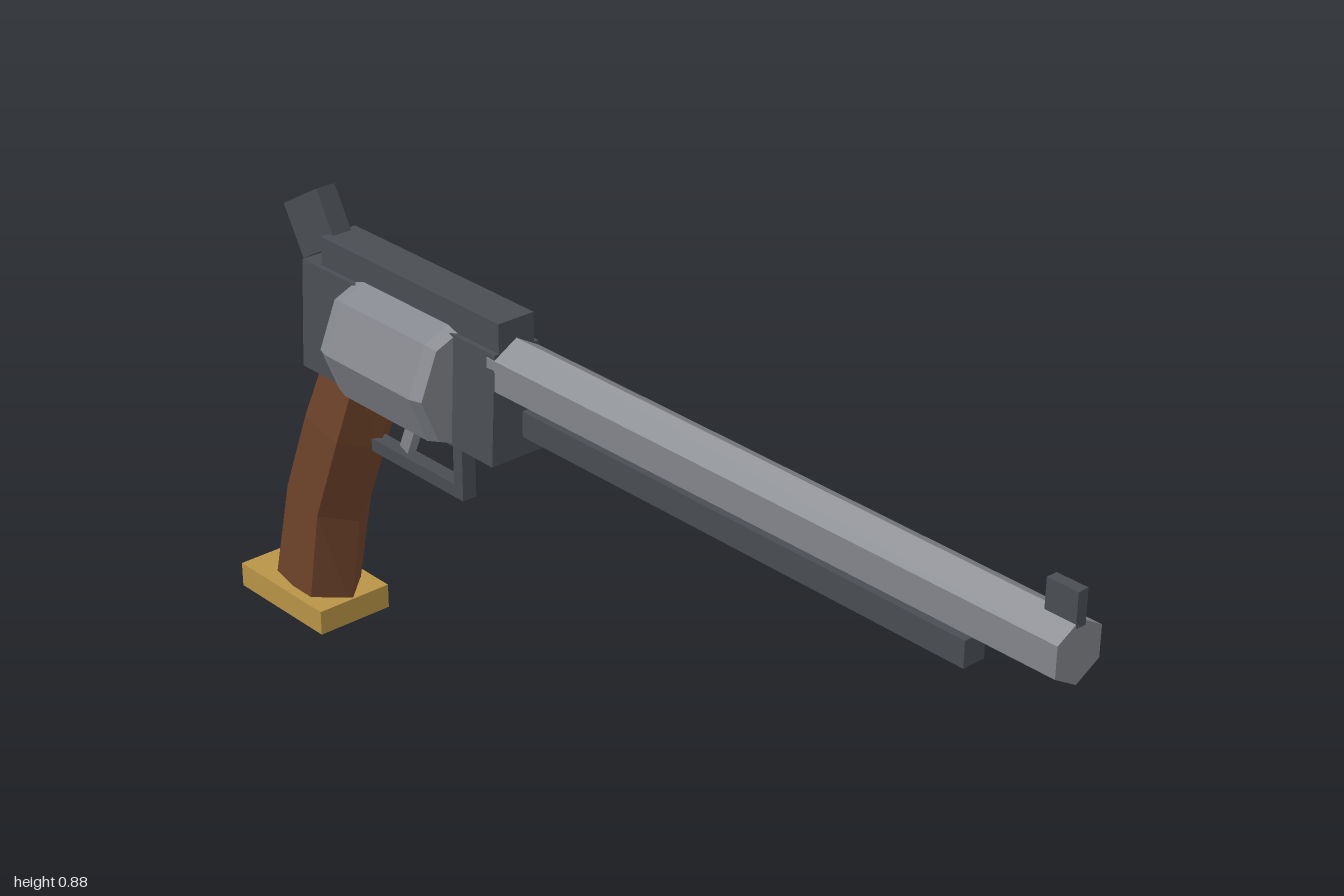
import * as THREE from 'three';

const mat = (color) => new THREE.MeshStandardMaterial({ color, flatShading: true });

export function createModel() {
  const group = new THREE.Group();
  const darkSteel = mat(0x4a4e54);
  const steel = mat(0x83868c);
  const wood = mat(0x70442b);
  const brass = mat(0xba9447);

  const add = (name, geometry, material) => {
    const mesh = new THREE.Mesh(geometry, material);
    mesh.name = name;
    group.add(mesh);
    return mesh;
  };
  // Box centred on x = 0, given by its width and its y and z ranges
  const block = (name, width, y0, y1, z0, z1, material = darkSteel) => {
    const mesh = add(name, new THREE.BoxGeometry(width, y1 - y0, z1 - z0), material);
    mesh.position.set(0, (y0 + y1) / 2, (z0 + z1) / 2);
    return mesh;
  };

  // Six-sided barrel with a ridge along the top
  const barrel = add('barrel', new THREE.CylinderGeometry(0.055, 0.057, 1.27, 6).rotateX(Math.PI / 2), steel);
  barrel.position.set(0, 0.709, 0.365);
  block('ejectorRod', 0.045, 0.602, 0.65, -0.21, 0.805);
  block('frontSight', 0.021, 0.75, 0.811, 0.94, 1);

  // Frame, narrower towards the top
  const section = new THREE.Shape([
    new THREE.Vector2(-0.058, 0.54), new THREE.Vector2(0.058, 0.54),
    new THREE.Vector2(0.048, 0.747), new THREE.Vector2(-0.048, 0.747),
  ]);
  const frame = add('frame', new THREE.ExtrudeGeometry(section, { depth: 0.54, bevelEnabled: false }), darkSteel);
  frame.position.z = -0.79;
  block('topStrap', 0.077, 0.74, 0.802, -0.745, -0.25);

  // Eight-sided drum with bevelled ends
  const profile = [[0, -0.143], [0.121, -0.143], [0.129, -0.118], [0.129, 0.118], [0.121, 0.143], [0, 0.143]]
    .map(([r, y]) => new THREE.Vector2(r, y));
  const drum = add('drum', new THREE.LatheGeometry(profile, 8).rotateX(Math.PI / 2), steel);
  drum.position.set(0, 0.642, -0.503);

  // Trigger and its guard
  block('guardPost', 0.03, 0.405, 0.55, -0.412, -0.387);
  block('guardBar', 0.03, 0.405, 0.43, -0.65, -0.387);
  const trigger = block('trigger', 0.02, 0.435, 0.545, -0.553, -0.529, steel);
  trigger.position.z = -0.54;
  trigger.rotation.x = 0.4;

  // Hammer, leaning back
  const hammer = block('hammer', 0.04, 0.751, 0.856, -0.86, -0.742);
  hammer.rotation.x = -Math.PI / 6;

  // Grip: six-sided rings given by front z, y, back z, y and half width
  const rings = [
    [-0.755, 0.022, -0.963, 0.075, 0.059],
    [-0.72, 0.225, -0.9, 0.285, 0.063],
    [-0.645, 0.407, -0.83, 0.455, 0.064],
    [-0.595, 0.56, -0.775, 0.58, 0.054],
  ];
  // Depth from front to back and side, anticlockwise from above
  const corners = [[0, 0], [0.25, 1], [0.75, 1], [1, 0], [0.75, -1], [0.25, -1]];
  const positions = [];
  const index = [];
  rings.forEach(([fz, fy, bz, by, w], r) => {
    corners.forEach(([t, s], i) => {
      positions.push(s * w, fy + (by - fy) * t, fz + (bz - fz) * t);
      if (r === 0) return;
      const a = (r - 1) * 6 + i, b = (r - 1) * 6 + (i + 1) % 6;
      index.push(a, a + 6, b, b, a + 6, b + 6);
    });
  });
  // Close both ends
  for (let i = 1; i < 5; i++) {
    index.push(0, i, i + 1, 18, 18 + i + 1, 18 + i);
  }
  // Front-to-left order runs anticlockwise seen from above, so flip to face outwards where needed
  const gripGeometry = new THREE.BufferGeometry();
  gripGeometry.setAttribute('position', new THREE.Float32BufferAttribute(positions, 3));
  for (let i = 0; i < index.length; i += 3) {
    const [p, q, s] = [0, 1, 2].map((k) => new THREE.Vector3().fromArray(positions, index[i + k] * 3));
    const ring = Math.min(Math.floor(index[i] / 6), 2);
    const inside = new THREE.Vector3();
    for (const [fz, fy, bz, by] of [rings[ring], rings[ring + 1]]) {
      inside.add(new THREE.Vector3(0, (fy + by) / 4, (fz + bz) / 4));
    }
    const normal = q.sub(p).cross(s.sub(p));
    if (normal.dot(p.sub(inside)) < 0) [index[i + 1], index[i + 2]] = [index[i + 2], index[i + 1]];
  }
  gripGeometry.setIndex(index);
  gripGeometry.computeVertexNormals();
  add('grip', gripGeometry, wood);

  // Base plate under the grip
  block('buttPlate', 0.16, 0, 0.049, -1, -0.746, brass);

  return group;
}
